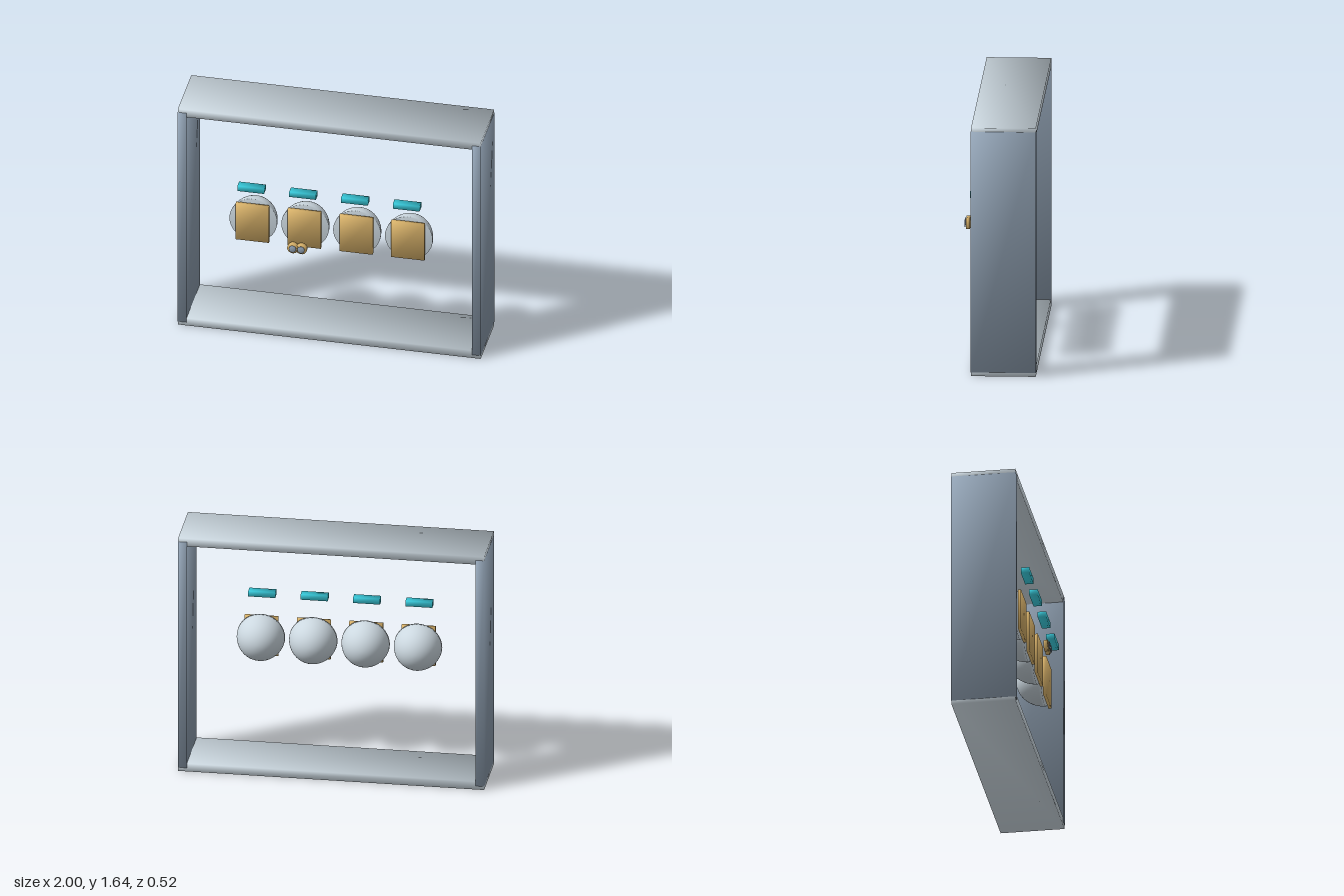
import * as THREE from 'three';
import { mergeVertices } from 'three/addons/utils/BufferGeometryUtils.js';

const material = (name, color) => Object.assign(new THREE.MeshStandardMaterial({ color }), { name });

// Share vertices across edges so shading rolls softly over them
function soften(geometry) {
  geometry.deleteAttribute('normal');
  geometry.deleteAttribute('uv');
  const merged = mergeVertices(geometry, 1e-4);
  merged.computeVertexNormals();
  return merged;
}

// Box whose corner normals point diagonally outwards
function softBox(w, h, d) {
  const geometry = new THREE.BoxGeometry(w, h, d);
  const { position, normal } = geometry.attributes;
  const corner = new THREE.Vector3();
  for (let i = 0; i < position.count; i++) {
    corner.set(Math.sign(position.getX(i)), Math.sign(position.getY(i)), Math.sign(position.getZ(i))).normalize();
    normal.setXYZ(i, corner.x, corner.y, corner.z);
  }
  return geometry;
}

export function createModel() {
  const model = new THREE.Group();
  model.name = 'framedDisplay';
  const steel = material('blue steel', 0x93a4b6);
  const silver = material('pale silver', 0xccd8e0);
  const brass = material('brass', 0xdcb56c);
  const cyan = material('cyan', 0x38cadb);

  function add(name, geometry, mat, x, y, z) {
    const mesh = new THREE.Mesh(geometry, mat);
    mesh.name = name;
    mesh.position.set(x, y, z);
    model.add(mesh);
  }
  const box = (name, mat, w, h, d, x, y, z) => add(name, softBox(w, h, d), mat, x, y, z);

  // Open square frame: pale top and bottom, darker sides
  box('bottomPanel', silver, 1.998, 0.055, 0.418, 0, 0.0275, -0.05);
  box('topPanel', silver, 1.998, 0.055, 0.418, 0, 1.6175, -0.05);
  for (const side of [-1, 1]) {
    box(side > 0 ? 'leftPanel' : 'rightPanel', steel, 0.058, 1.595, 0.422, side * 0.971, 0.8225, -0.05);
  }

  // Dome with its flat face to the front and its bulge to the back
  const domeProfile = [];
  for (let i = 0; i <= 16; i++) {
    const angle = (i / 16 - 1) * Math.PI / 2;
    domeProfile.push(new THREE.Vector2(i === 0 ? 0 : 0.157 * Math.cos(angle), 0.18 * Math.sin(angle)));
  }
  domeProfile.push(new THREE.Vector2(0, 0));

  // Row of four units: dome, front plate and indicator bar
  for (let i = 0; i < 4; i++) {
    const x = (i - 1.5) * 0.342;
    const dome = new THREE.LatheGeometry(domeProfile, 40).rotateX(Math.PI / 2);
    add('dome', soften(dome), silver, x, 0.825, 0.105);
    box('frontPlate', brass, 0.22, 0.275, 0.02, x, 0.823, 0.125);
    box('indicatorBar', cyan, 0.176, 0.038, 0.055, x, 1.107, 0.158);
  }

  // Pair of small round knobs with discs in front
  for (const x of [-0.222, -0.166]) {
    const knob = new THREE.CylinderGeometry(0.037, 0.037, 0.025, 28).rotateX(Math.PI / 2);
    add('knob', soften(knob), brass, x, 0.738, 0.236);
    const disc = new THREE.CylinderGeometry(0.024, 0.024, 0.006, 24).rotateX(Math.PI / 2);
    add('knobDisc', soften(disc), steel, x, 0.738, 0.257);
  }
  return model;
}
